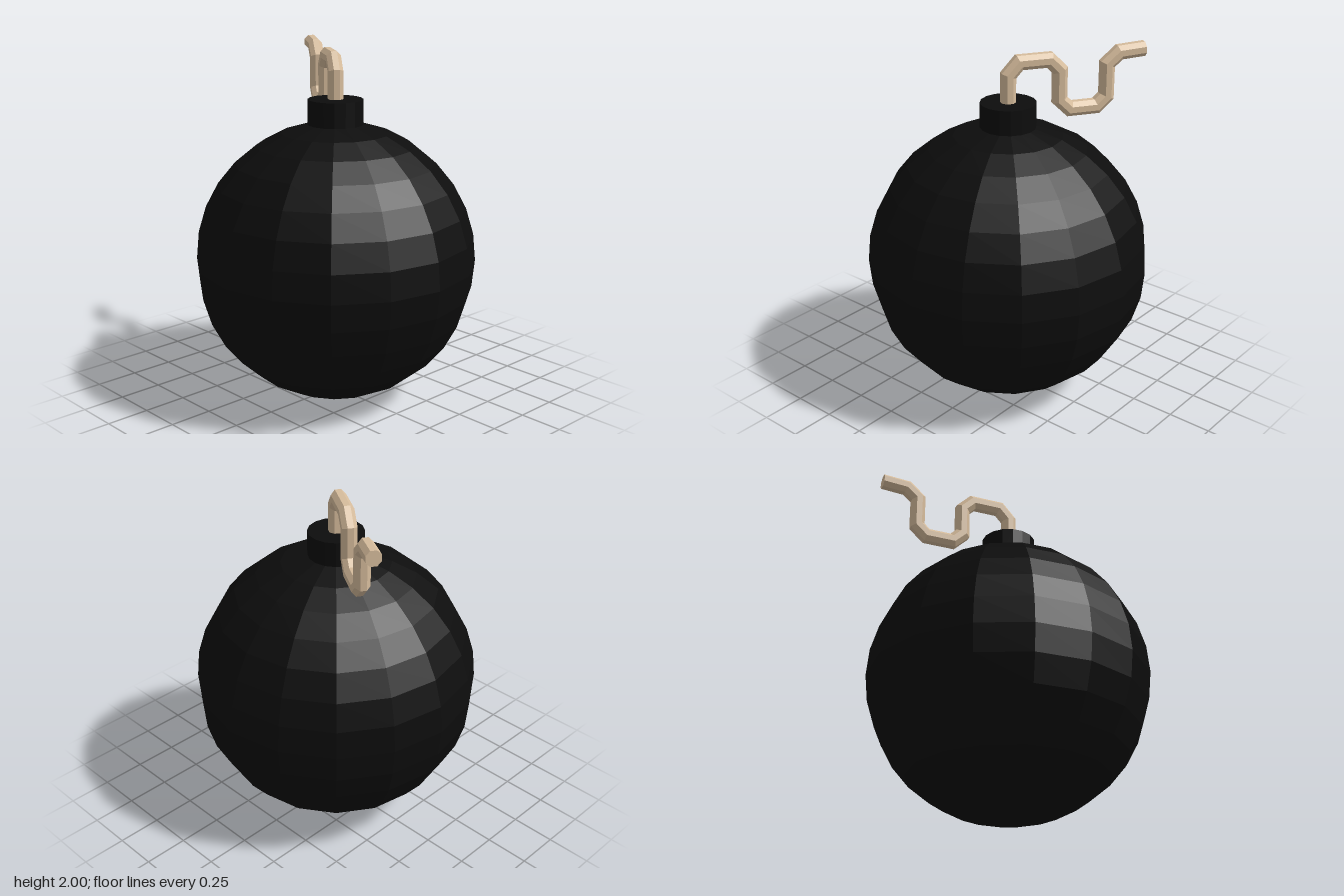
import * as THREE from 'three';

const black = new THREE.MeshStandardMaterial({ name: 'black iron', color: 0x0d0d0d, flatShading: true });
const tan = new THREE.MeshStandardMaterial({ name: 'tan cord', color: 0xd6bc9c, flatShading: true });

// Cord swept along a planar path of [depth behind centre, height], with mitred bends
function cord(path, radius, sides) {
  const along = new THREE.Vector3(0.535, 0, -0.845);
  const across = new THREE.Vector3(0.845, 0, 0.535);
  const pts = path.map(([d, y]) => new THREE.Vector2(d / 0.845, y));
  const pos = [], index = [];
  const put = (p, off, side) => {
    const v = along.clone().multiplyScalar(p.x + off.x).addScaledVector(across, side);
    pos.push(v.x, p.y + off.y, v.z);
  };
  pts.forEach((p, i) => {
    const a = p.clone().sub(pts[Math.max(i - 1, 0)]).normalize();
    const b = pts[Math.min(i + 1, pts.length - 1)].clone().sub(p).normalize();
    const t = a.clone().add(b).normalize();
    const miter = 1 / t.dot(i ? a : b);
    const normal = new THREE.Vector2(-t.y, t.x).multiplyScalar(radius * miter);
    for (let j = 0; j < sides; j++) {
      const ang = ((j + 0.5) / sides) * Math.PI * 2;
      put(p, normal.clone().multiplyScalar(Math.cos(ang)), Math.sin(ang) * radius);
    }
  });
  for (let i = 0; i < pts.length - 1; i++) {
    for (let j = 0; j < sides; j++) {
      const k = (j + 1) % sides;
      const a = i * sides + j, b = i * sides + k;
      index.push(a, b, a + sides, b, b + sides, a + sides);
    }
  }
  // End discs
  const last = (pts.length - 1) * sides;
  for (let j = 1; j < sides - 1; j++) {
    index.push(0, j + 1, j, last, last + j, last + j + 1);
  }
  const geo = new THREE.BufferGeometry();
  geo.setAttribute('position', new THREE.Float32BufferAttribute(pos, 3));
  geo.setIndex(index);
  geo.computeVertexNormals();
  return geo;
}

export function createModel() {
  const model = new THREE.Group();
  model.name = 'bomb';
  const add = (name, geo, mat) => {
    const mesh = new THREE.Mesh(geo, mat);
    mesh.name = name;
    model.add(mesh);
    return mesh;
  };

  // Round body
  add('body', new THREE.SphereGeometry(0.8, 16, 16), black).position.y = 0.8;

  // Short neck on top
  add('neck', new THREE.CylinderGeometry(0.156, 0.156, 0.155, 16), black).position.y = 1.6475;

  // Winding fuse
  add('fuse', cord([
    [0, 1.70], [0, 1.875], [0.052, 1.942], [0.198, 1.942], [0.25, 1.88], [0.25, 1.71],
    [0.3, 1.652], [0.435, 1.652], [0.484, 1.705], [0.484, 1.888], [0.543, 1.948], [0.668, 1.957],
  ], 0.044, 8), tan);

  return model;
}
